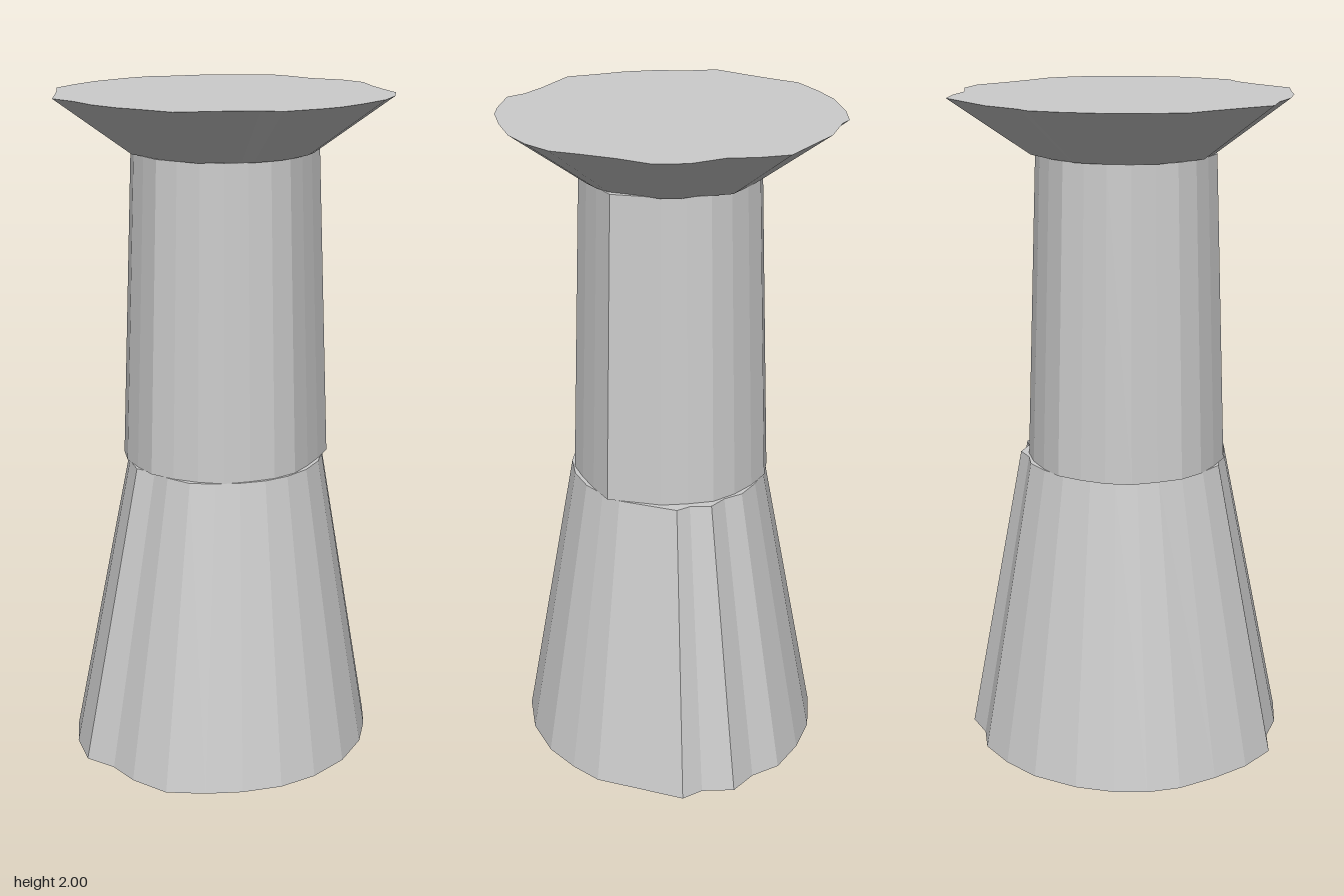
import * as THREE from 'three';

const material = new THREE.MeshStandardMaterial({ color: 0xcccccc, flatShading: true });

// Uneven outlines as [x, z] corners.
const baseRing = [
  [0.42, -0.265], [0.36, -0.3], [0.31, -0.385], [0.22, -0.405], [0.14, -0.455], [0.02, -0.465],
  [-0.1, -0.45], [-0.23, -0.395], [-0.325, -0.325], [-0.39, -0.25], [-0.435, -0.16], [-0.46, -0.04],
  [-0.47, 0.08], [-0.45, 0.2], [-0.375, 0.265], [-0.325, 0.35], [-0.235, 0.435], [-0.12, 0.46],
  [-0.01, 0.468], [0.11, 0.455], [0.22, 0.41], [0.325, 0.33], [0.405, 0.22], [0.445, 0.11],
  [0.465, 0.01], [0.445, -0.11],
];
const headRing = [
  [0.01, -0.49], [0.225, -0.47], [0.285, -0.405], [0.33, -0.335], [0.415, -0.275], [0.463, -0.195],
  [0.464, -0.09], [0.475, 0.01], [0.488, 0.095], [0.462, 0.185], [0.415, 0.268], [0.335, 0.35],
  [0.255, 0.418], [0.195, 0.448], [0.085, 0.488], [0.03, 0.465], [-0.05, 0.458], [-0.2, 0.46],
  [-0.27, 0.395], [-0.335, 0.34], [-0.395, 0.265], [-0.435, 0.18], [-0.49, 0.105], [-0.475, -0.01],
  [-0.465, -0.11], [-0.462, -0.178], [-0.4, -0.27], [-0.335, -0.348], [-0.235, -0.425],
  [-0.15, -0.472], [-0.11, -0.468],
];
// Column: nearly round, with one raised edge on the +x side.
const columnRing = Array.from({ length: 24 }, (_, i) => {
  const a = (i / 24) * Math.PI * 2 + 0.13;
  const r = i === 0 ? 0.322 : 0.296 + 0.004 * Math.sin(i * 2.3);
  return [r * Math.cos(a), r * Math.sin(a)];
});

// Prism over an outline; each end has its own scale and sideways shift.
function taperedPrism(name, ring, y0, y1, bottom, top) {
  const shape = new THREE.Shape(ring.map(([x, z]) => new THREE.Vector2(x, -z)));
  const geometry = new THREE.ExtrudeGeometry(shape, { depth: y1 - y0, bevelEnabled: false });
  geometry.rotateX(-Math.PI / 2).translate(0, y0, 0);
  const p = geometry.attributes.position;
  for (let i = 0; i < p.count; i++) {
    const end = p.getY(i) > (y0 + y1) / 2 ? top : bottom;
    p.setX(i, p.getX(i) * end.scale + end.shift);
    p.setZ(i, p.getZ(i) * end.scale);
  }
  geometry.computeVertexNormals();
  const mesh = new THREE.Mesh(geometry, material);
  mesh.name = name;
  return mesh;
}

export function createModel() {
  const group = new THREE.Group();
  group.name = 'pedestal';
  const full = { scale: 1, shift: 0 };
  group.add(
    taperedPrism('flaredBase', baseRing, 0, 0.915, full, { scale: 0.64, shift: 0.013 }),
    taperedPrism('column', columnRing, 0.915, 1.835, full, { scale: 0.885, shift: 0 }),
    taperedPrism('flaredTop', headRing, 1.835, 2, { scale: 0.545, shift: 0 }, full),
  );
  return group;
}
